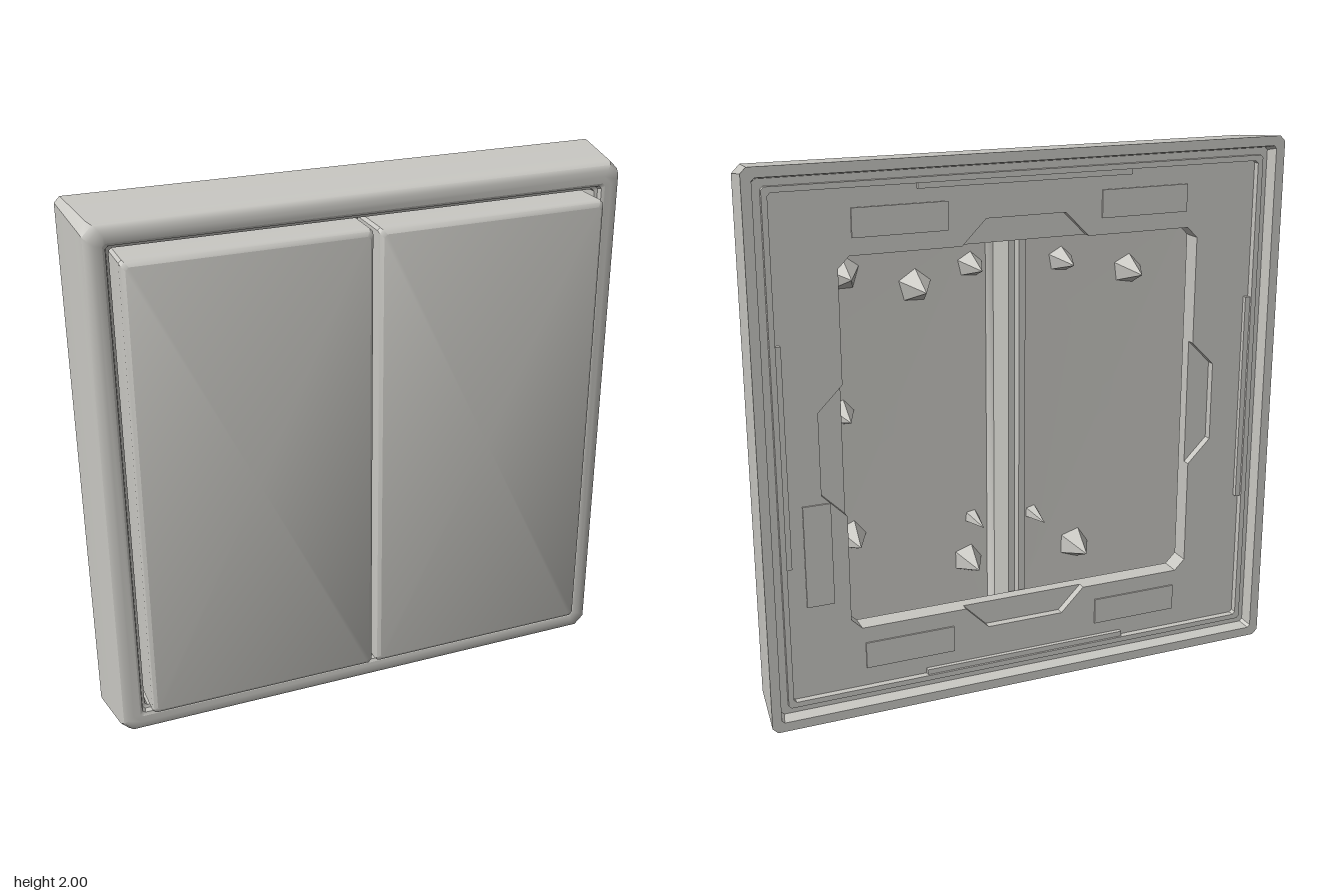
import * as THREE from 'three';
import { toCreasedNormals } from 'three/addons/utils/BufferGeometryUtils.js';

const plastic = new THREE.MeshStandardMaterial({ color: 0xc8c7c2 });
plastic.name = 'warm grey plastic';

// Corner-cut rectangle, counter-clockwise seen from the front
function outline(hx, hy, c) {
  return [[hx, c - hy], [hx, hy - c], [hx - c, hy], [c - hx, hy],
    [-hx, hy - c], [-hx, c - hy], [c - hx, -hy], [hx - c, -hy]];
}

// Skin through a list of [halfWidth, halfHeight, z, cornerCut] sections
function loft(sections, closed) {
  const rings = sections.map(([hx, hy, z, c]) => outline(hx, hy, c).map(([x, y]) => [x, y, z]));
  if (closed) rings.push(rings[0]);
  const pos = [];
  for (let r = 0; r < rings.length - 1; r++) {
    const a = rings[r], b = rings[r + 1];
    for (let i = 0; i < 8; i++) {
      const j = (i + 1) % 8;
      pos.push(...a[i], ...a[j], ...b[j], ...a[i], ...b[j], ...b[i]);
    }
  }
  const g = new THREE.BufferGeometry();
  g.setAttribute('position', new THREE.Float32BufferAttribute(pos, 3));
  return toCreasedNormals(g, 0.6);
}

function plate(hole, zBack, depth) {
  const toPoints = (pts) => pts.map(([x, y]) => new THREE.Vector2(x, y));
  const shape = new THREE.Shape(toPoints(outline(0.92, 0.92, 0.01)));
  shape.holes.push(new THREE.Path(toPoints(hole)));
  const g = new THREE.ExtrudeGeometry(shape, { depth, bevelEnabled: false });
  g.translate(0, 0, zBack);
  return g;
}

export function createModel() {
  const model = new THREE.Group();
  model.name = 'doubleWallSwitch';
  const body = new THREE.Group();
  body.position.y = 1;
  model.add(body);

  function add(name, geometry, x = 0, y = 0, z = 0) {
    const mesh = new THREE.Mesh(geometry, plastic);
    mesh.name = name;
    mesh.position.set(x, y, z);
    body.add(mesh);
    return mesh;
  }

  // Surround: tapered outside, rounded front lip, stepped back rim
  const ring = [
    [1, -0.17, 0.02], [0.978, 0.06, 0.03], [0.97, 0.085, 0.035], [0.955, 0.097, 0.035],
    [0.935, 0.1, 0.03], [0.91, 0.1, 0.01], [0.9, 0.093, 0.01], [0.895, 0.075, 0.01],
    [0.885, 0.07, 0.01], [0.885, -0.1, 0.01], [0.91, -0.1, 0.01], [0.91, -0.14, 0.01],
    [0.93, -0.14, 0.01], [0.93, -0.125, 0.01], [0.955, -0.125, 0.01], [0.965, -0.17, 0.01],
  ];
  add('frame', loft(ring.map(([h, z, c]) => [h, h, z, c]), true));

  // Mounting plate: plain front layer, back layer notched on all four sides
  const opening = outline(0.68, 0.68, 0.04);
  const notched = [];
  for (let k = 0; k < 4; k++) {
    const cos = Math.round(Math.cos(k * Math.PI / 2)), sin = Math.round(Math.sin(k * Math.PI / 2));
    const side = [[0.68, -0.64], [0.68, -0.24], [0.77, -0.15], [0.77, 0.15], [0.68, 0.24], [0.68, 0.64]];
    for (const [x, y] of side) notched.push([x * cos - y * sin, x * sin + y * cos]);
  }
  add('mountingPlate', plate(opening, -0.085, 0.045));
  add('notchedBackPlate', plate(notched, -0.115, 0.03));

  // Thin pads on the back, and the snap strips along the rim
  for (const x of [0.46, -0.46]) {
    for (const y of [0.79, -0.79]) add('backPad', new THREE.BoxGeometry(0.34, 0.1, 0.008), x, y, -0.117);
  }
  add('backPad', new THREE.BoxGeometry(0.1, 0.38, 0.008), 0.79, -0.37, -0.117);
  for (const s of [1, -1]) {
    add('snapStrip', new THREE.BoxGeometry(0.8, 0.02, 0.02), 0, 0.9 * s, -0.122);
    add('snapStrip', new THREE.BoxGeometry(0.02, 0.8, 0.02), 0.9 * s, 0, -0.122);
  }

  // Hollow rockers with softened front edges
  const w = 0.433, h = 0.868;
  const rocker = loft([
    [0, 0, 0.13, 0], [w - 0.05, h - 0.06, 0.125, 0.02], [w - 0.03, h - 0.04, 0.1, 0.02],
    [w - 0.025, h - 0.03, -0.03, 0.02], [w, h, -0.03, 0.01], [w, h, 0.148, 0.01],
    [w - 0.004, h - 0.006, 0.16, 0.012], [w - 0.016, h - 0.02, 0.17, 0.012], [0, 0, 0.17, 0],
  ], false);
  add('leftRocker', rocker, 0.441);
  add('rightRocker', rocker, -0.441);

  // Faceted clip stubs inside the rockers
  const stubs = [[0.6, 0.57, 0.07], [0.33, 0.5, 0.065], [0.12, 0.56, 0.05], [-0.24, 0.55, 0.05],
    [-0.52, 0.49, 0.06], [0.62, 0.06, 0.05], [0.6, -0.42, 0.06], [0.14, -0.59, 0.06],
    [-0.31, -0.6, 0.065], [-0.13, -0.44, 0.03], [0.12, -0.42, 0.03]];
  stubs.forEach(([x, y, r], i) => {
    const g = new THREE.ConeGeometry(r, 0.13, 5).toNonIndexed();
    g.rotateX(-Math.PI / 2);
    g.rotateZ(i * 1.3);
    g.computeVertexNormals();
    add('clipStub', g, x, y, 0.065);
  });
  return model;
}
